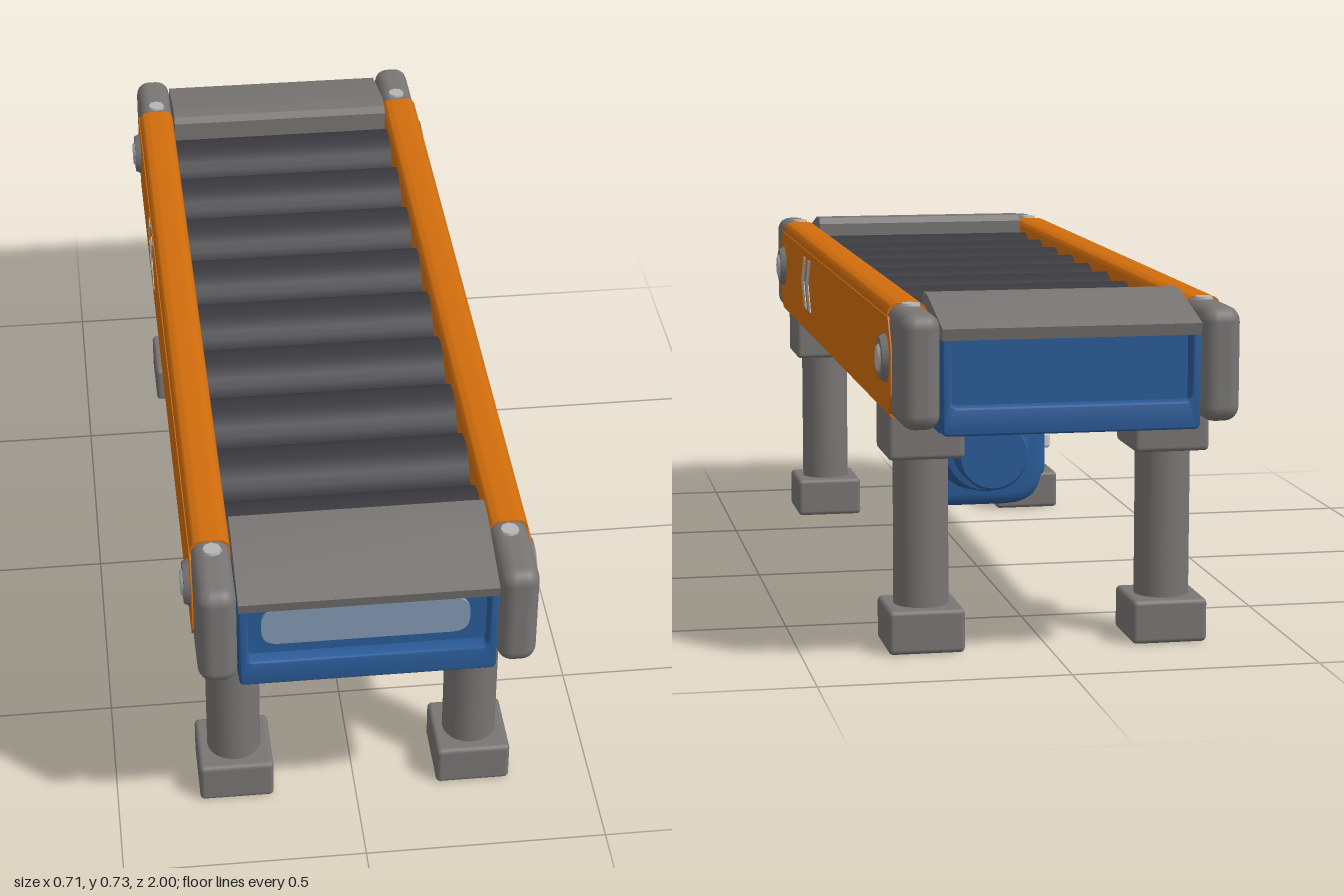
import * as THREE from 'three';
import { toCreasedNormals } from 'three/addons/utils/BufferGeometryUtils.js';
import { RoundedBoxGeometry } from 'three/addons/geometries/RoundedBoxGeometry.js';

const mat = (name, color) => {
  const m = new THREE.MeshStandardMaterial({ color });
  m.name = name;
  return m;
};

export function createModel() {
  const orange = mat('orange paint', 0xd06c0c);
  const gray = mat('gray metal', 0x787573);
  const blue = mat('blue paint', 0x2a5b98);
  const dark = mat('dark rubber', 0x39393e);
  const silver = mat('silver', 0xb4b4b4);
  const white = mat('pale fins', 0xcfcdc8);
  const panel = mat('pale blue panel', 0x8299b2);

  const model = new THREE.Group();
  model.name = 'rollerConveyor';

  const add = (parent, name, geo, material, x = 0, y = 0, z = 0) => {
    const mesh = new THREE.Mesh(geo, material);
    mesh.name = name;
    mesh.position.set(x, y, z);
    parent.add(mesh);
    return mesh;
  };
  const rbox = (w, h, d, r) => new RoundedBoxGeometry(w, h, d, 3, r);
  const roundRect = (w, h, r, Type = THREE.Shape) => {
    const s = new Type(), a = w / 2, b = h / 2;
    s.moveTo(-a + r, -b);
    s.lineTo(a - r, -b); s.quadraticCurveTo(a, -b, a, -b + r);
    s.lineTo(a, b - r); s.quadraticCurveTo(a, b, a - r, b);
    s.lineTo(-a + r, b); s.quadraticCurveTo(-a, b, -a, b - r);
    s.lineTo(-a, -b + r); s.quadraticCurveTo(-a, -b, -a + r, -b);
    return s;
  };
  const polygon = pts => new THREE.Shape(pts.map(p => new THREE.Vector2(...p)));
  // Extrusion centred along z; bevel stays inside the outline and depth
  const extrude = (shape, depth, bevel = 0) => toCreasedNormals(new THREE.ExtrudeGeometry(shape, {
    depth: depth - 2 * bevel, bevelEnabled: bevel > 0, bevelSize: bevel, bevelThickness: bevel,
    bevelOffset: -bevel, bevelSegments: 3, curveSegments: 6,
  }).translate(0, 0, bevel - depth / 2), 0.6);
  // Outline given as (z, y), extruded along x
  const sideExtrude = (shape, width) => extrude(shape, width).rotateY(-Math.PI / 2);
  const lathe = pts => toCreasedNormals(
    new THREE.LatheGeometry(pts.map(p => new THREE.Vector2(...p)), 28).rotateX(Math.PI / 2), 0.6);

  // Side rails: one built on +x, the other turned half round
  for (const turn of [0, Math.PI]) {
    const rail = new THREE.Group();
    rail.name = turn ? 'rightRail' : 'leftRail';
    rail.rotation.y = turn;
    model.add(rail);
    add(rail, 'railBeam', extrude(roundRect(0.08, 0.23, 0.025), 1.66), orange, 0.295, 0.6, 0);
    add(rail, 'railSidePlate', sideExtrude(polygon([
      [-0.85, -0.1], [0.85, -0.1], [0.885, -0.06], [0.885, 0.03], [0.85, 0.09],
      [-0.85, 0.09], [-0.885, 0.03], [-0.885, -0.06],
    ]), 0.008), orange, 0.333, 0.6, 0);
    for (const s of [1, -1]) {
      add(rail, 'railEndCap', rbox(0.078, 0.226, 0.25, 0.03), gray, 0.295, 0.6, s * 0.875);
      // Side bolt and small top bolt
      add(rail, 'boltRing', new THREE.CylinderGeometry(0.042, 0.052, 0.02, 20).rotateZ(-Math.PI / 2),
        gray, 0.34, 0.607, s * 0.82);
      add(rail, 'boltHead', new THREE.CylinderGeometry(0.024, 0.032, 0.008, 8).rotateZ(-Math.PI / 2),
        silver, 0.351, 0.607, s * 0.82);
      add(rail, 'topBolt', new THREE.CylinderGeometry(0.018, 0.02, 0.008, 8),
        silver, 0.293, 0.714, s * 0.857);
    }
    // Direction chevrons
    for (const z of [0.47, 0.39])
      add(rail, 'chevron', sideExtrude(polygon([
        [0, 0], [-0.045, 0.06], [-0.085, 0.06], [-0.045, 0], [-0.085, -0.06], [-0.045, -0.06],
      ]), 0.006), silver, 0.336, 0.612, z);
  }

  // Rollers
  for (let i = -4; i <= 4; i++)
    add(model, 'roller', new THREE.CylinderGeometry(0.086, 0.086, 0.53, 28).rotateZ(Math.PI / 2),
      dark, 0, 0.605, i * 0.177);

  // End housings with a sloping lid and a recessed face
  for (const turn of [0, Math.PI]) {
    const end = new THREE.Group();
    end.name = turn ? 'backHousing' : 'frontHousing';
    end.rotation.y = turn;
    model.add(end);
    add(end, 'housingLid', sideExtrude(polygon([
      [0.765, 0.66], [0.99, 0.66], [0.995, 0.683], [0.82, 0.729], [0.775, 0.729], [0.765, 0.715],
    ]), 0.508), gray);
    add(end, 'housingBody', new THREE.BoxGeometry(0.508, 0.2, 0.19), blue, 0, 0.577, 0.865);
    const frame = roundRect(0.508, 0.208, 0.012);
    const hole = roundRect(0.47, 0.14, 0.012, THREE.Path);
    frame.holes.push(new THREE.Path(hole.getPoints(6).map(p => p.add(new THREE.Vector2(0, 0.022)))));
    add(end, 'housingFrame', extrude(frame, 0.04, 0.005), blue, 0, 0.579, 0.97);
    if (!turn)
      add(end, 'frontPanel', extrude(roundRect(0.41, 0.084, 0.035), 0.008), panel, -0.003, 0.599, 0.963);
  }

  // Legs
  for (const x of [-0.25, 0.25]) for (const z of [0.73, -0.71]) {
    const leg = new THREE.Group();
    leg.name = 'leg';
    leg.position.set(x, 0, z);
    model.add(leg);
    add(leg, 'foot', rbox(0.155, 0.09, 0.16, 0.01), gray, 0, 0.045, 0);
    add(leg, 'post', new THREE.CylinderGeometry(0.056, 0.056, 0.33, 24), gray, 0, 0.245, 0);
    add(leg, 'bracket', rbox(0.155, 0.115, 0.16, 0.01), gray, 0, 0.4525, 0);
  }

  // Drive motor slung under the rollers
  const motor = new THREE.Group();
  motor.name = 'motor';
  motor.position.set(0, 0.292, 0.15);
  model.add(motor);
  add(motor, 'motorBody', extrude(roundRect(0.3, 0.296, 0.085), 0.35, 0.025), blue);
  add(motor, 'motorNose', lathe([
    [0.125, 0.16], [0.1, 0.178], [0.084, 0.195], [0.081, 0.255], [0.072, 0.272], [0.045, 0.28],
    [0.04, 0.298], [0.025, 0.308], [0, 0.312],
  ].reverse().map(([r, z]) => [r, z]).reverse()), blue, 0, -0.002, 0)
    .geometry.scale(1, 1, 1);
  add(motor, 'motorTail', lathe([
    [0, -0.35], [0.074, -0.35], [0.079, -0.344], [0.079, -0.27], [0.093, -0.268],
    [0.097, -0.262], [0.097, -0.195], [0.12, -0.16],
  ]), blue);
  add(motor, 'motorMount', new THREE.BoxGeometry(0.036, 0.1, 0.07), dark, 0, 0.19, 0.02);
  for (const s of [1, -1]) {
    add(motor, 'motorSidePlate', rbox(0.05, 0.2, 0.3, 0.015), blue, s * 0.134, 0.013, 0);
    for (const y of [0.063, -0.014])
      add(motor, 'coolingFin', rbox(0.05, 0.036, 0.21, 0.008), white, s * 0.156, y, 0.002);
  }

  // Lathes run along z after the tilt, so flip any whose faces point inward
  motor.traverse(o => {
    if (o.name !== 'motorNose' && o.name !== 'motorTail') return;
    const p = o.geometry.attributes.position, a = new THREE.Vector3(), b = a.clone(), c = a.clone();
    let volume = 0;
    for (let i = 0; i < p.count; i += 3) {
      a.fromBufferAttribute(p, i); b.fromBufferAttribute(p, i + 1); c.fromBufferAttribute(p, i + 2);
      const n = b.clone().sub(a).cross(c.clone().sub(a));
      volume += n.x * a.x + n.y * a.y;
    }
    if (volume > 0) return;
    for (const attr of [p, o.geometry.attributes.normal])
      for (let i = 0; i < attr.count; i += 3) {
        a.fromBufferAttribute(attr, i); b.fromBufferAttribute(attr, i + 2);
        attr.setXYZ(i, b.x, b.y, b.z); attr.setXYZ(i + 2, a.x, a.y, a.z);
      }
    o.geometry = toCreasedNormals(o.geometry, 0.6);
  });
  return model;
}
